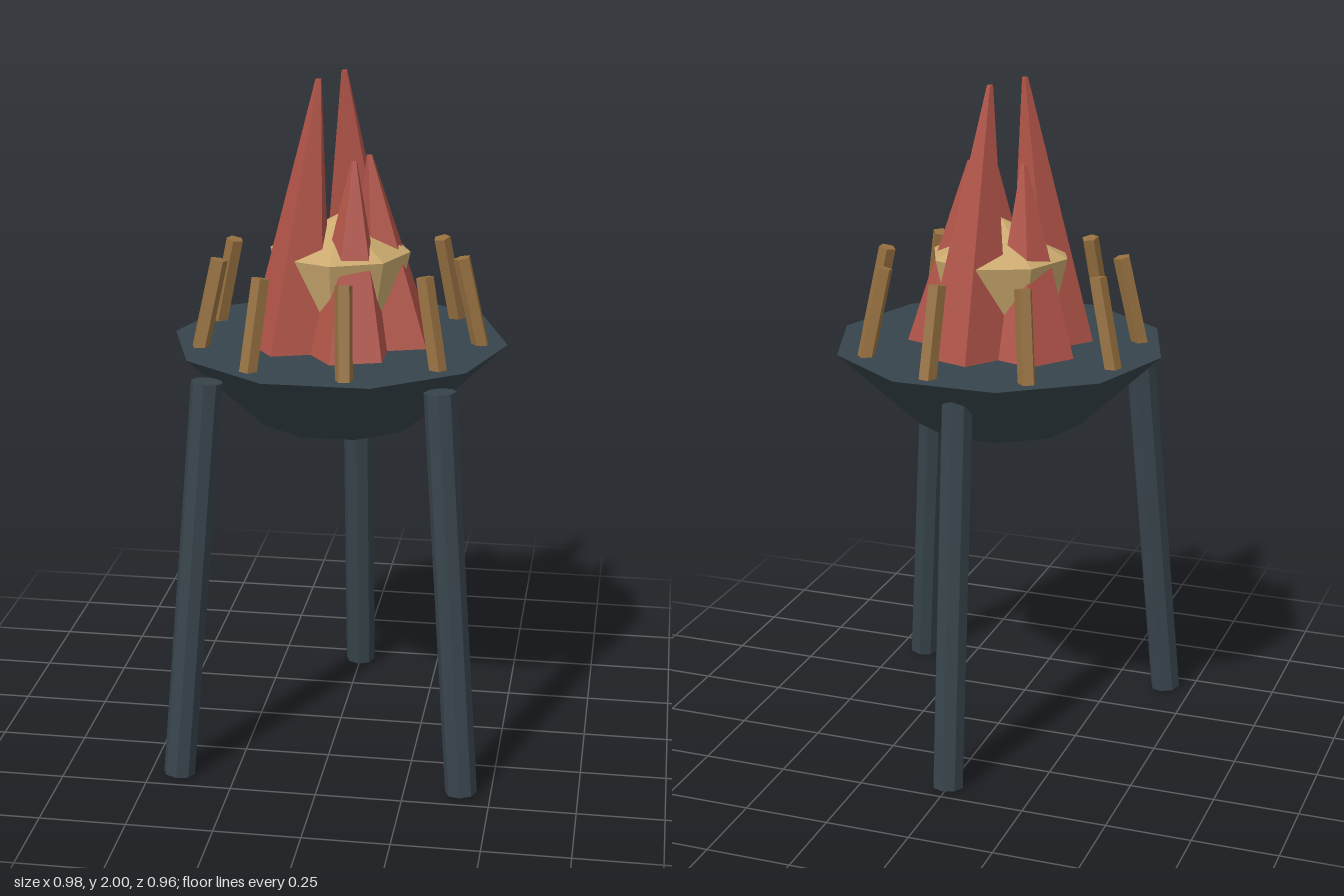
import * as THREE from 'three';

function material(name, color) {
  const m = new THREE.MeshStandardMaterial({ color, flatShading: true });
  m.name = name;
  return m;
}

export function createModel() {
  const iron = material('dark iron', 0x37444b);
  const red = material('flame red', 0xb05347);
  const gold = material('ember gold', 0xc9a86d);
  const wood = material('brown wood', 0x967040);

  const model = new THREE.Group();
  model.name = 'brazier';
  const CZ = 0.015; // centre of the bowl in z

  function add(name, geometry, mat, parent = model) {
    const mesh = new THREE.Mesh(geometry, mat);
    mesh.name = name;
    parent.add(mesh);
    return mesh;
  }

  // Straight prism running between two points
  function strut(name, from, to, radius, sides, mat, turn = 0, parent = model) {
    const a = new THREE.Vector3(...from);
    const b = new THREE.Vector3(...to);
    const dir = b.clone().sub(a);
    const g = new THREE.CylinderGeometry(radius, radius, dir.length(), sides);
    g.rotateY(turn);
    const mesh = add(name, g, mat, parent);
    mesh.quaternion.setFromUnitVectors(new THREE.Vector3(0, 1, 0), dir.normalize());
    mesh.position.copy(a).add(b).multiplyScalar(0.5);
    return mesh;
  }

  // Ten-sided bowl with a filled top
  const bowl = new THREE.CylinderGeometry(0.488, 0.247, 0.23, 10);
  bowl.rotateY(Math.PI / 2);
  add('bowl', bowl, iron).position.set(0, 1.117, CZ);

  // Three splayed legs
  strut('leftLeg', [0.415, 0.005, 0.43], [0.328, 1.187, 0.342], 0.046, 8, iron);
  strut('rightLeg', [-0.415, 0.005, 0.43], [-0.328, 1.187, 0.342], 0.046, 8, iron);
  strut('backLeg', [0, 0.005, -0.438], [0, 1.187, -0.34], 0.046, 8, iron);

  // Ring of nine sticks leaning inwards
  for (let i = 0; i < 9; i++) {
    const holder = new THREE.Group();
    holder.name = 'stick' + (i + 1);
    holder.position.z = CZ;
    holder.rotation.y = (i * Math.PI * 2) / 9;
    model.add(holder);
    strut('stickShaft', [0.412, 1.22, 0], [0.352, 1.486, 0], 0.026, 5, wood, -Math.PI / 2, holder);
  }

  // Faceted ember heart
  const ember = new THREE.LatheGeometry([
    new THREE.Vector2(0, 1.285),
    new THREE.Vector2(0.155, 1.285),
    new THREE.Vector2(0.204, 1.498),
    new THREE.Vector2(0, 1.605),
  ], 8);
  add('ember', ember, gold).position.z = CZ;

  // Five flames, alternately short and tall, swirling towards the middle
  for (let i = 0; i < 5; i++) {
    const base = (i * Math.PI * 2) / 5;
    const tip = base + Math.PI / 10;
    const height = i % 2 ? 0.768 : 0.538;
    const g = new THREE.CylinderGeometry(0.009, 0.128, height, 5);
    g.rotateY(-Math.PI / 2);
    g.translate(0, height / 2, 0);
    const dx = 0.085 * Math.cos(tip) - 0.157 * Math.cos(base);
    const dz = -0.085 * Math.sin(tip) + 0.157 * Math.sin(base);
    const p = g.attributes.position;
    for (let v = 0; v < p.count; v++) {
      const t = p.getY(v) / height;
      p.setX(v, p.getX(v) + dx * t);
      p.setZ(v, p.getZ(v) + dz * t);
    }
    g.computeVertexNormals();
    add('flame' + (i + 1), g, red)
      .position.set(0.157 * Math.cos(base), 1.232, CZ - 0.157 * Math.sin(base));
  }

  return model;
}
